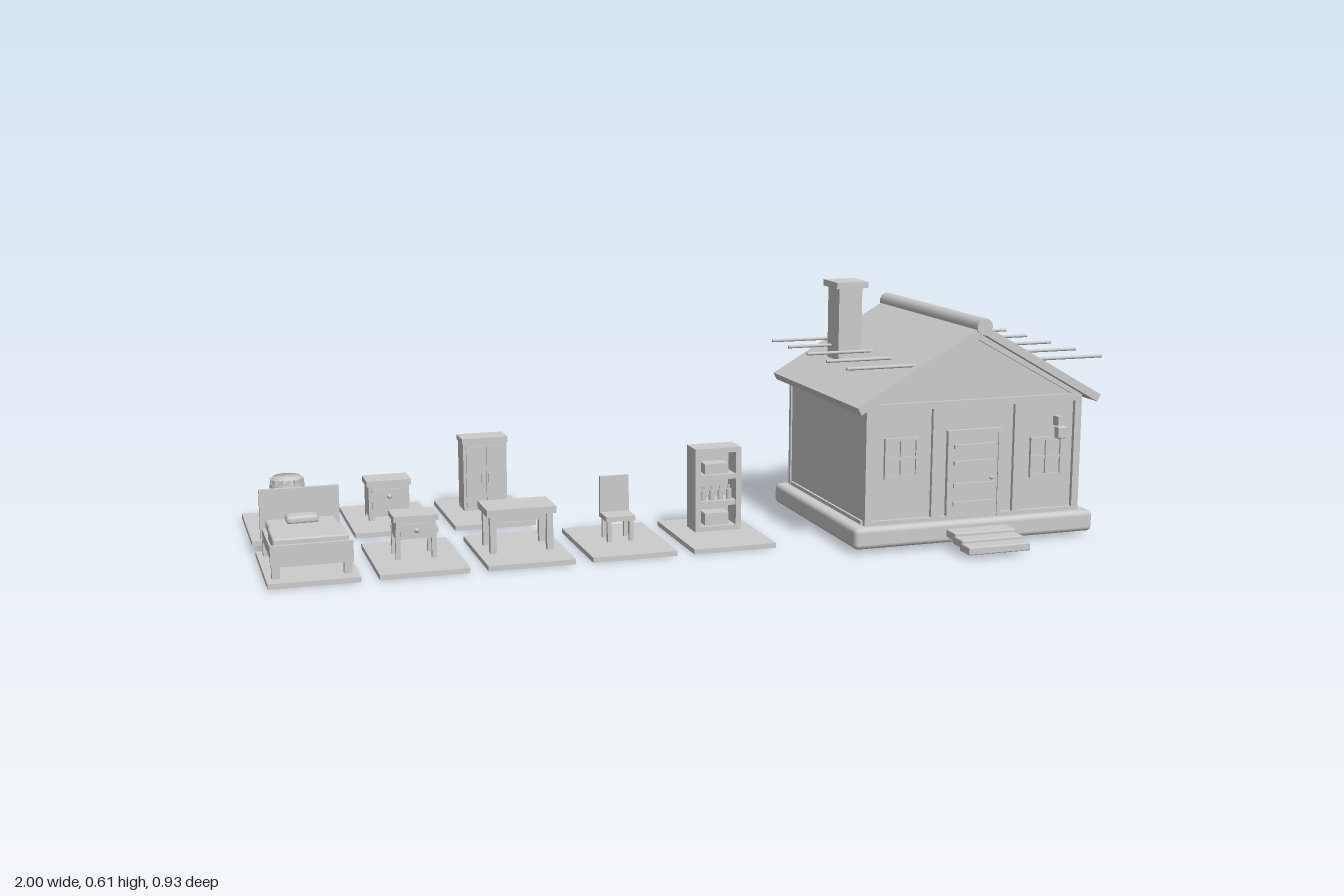
import * as THREE from 'three';
import { RoundedBoxGeometry } from 'three/addons/geometries/RoundedBoxGeometry.js';

const clay = new THREE.MeshStandardMaterial({ color: 0xcccccc });
clay.name = 'light grey';

function put(parent, name, geometry, x = 0, y = 0, z = 0) {
  const m = new THREE.Mesh(geometry, clay);
  m.name = name;
  m.position.set(x, y, z);
  parent.add(m);
  return m;
}
// Box given by its minimum and maximum corners
function box(parent, name, x0, x1, y0, y1, z0, z1, round = 0) {
  const s = [x1 - x0, y1 - y0, z1 - z0];
  const g = round ? new RoundedBoxGeometry(...s, 2, round) : new THREE.BoxGeometry(...s);
  return put(parent, name, g, (x0 + x1) / 2, (y0 + y1) / 2, (z0 + z1) / 2);
}
function rod(parent, name, r, length, axis, x, y, z, sides = 10) {
  const g = new THREE.CylinderGeometry(r, r, length, sides);
  if (axis === 'x') g.rotateZ(Math.PI / 2);
  if (axis === 'z') g.rotateX(Math.PI / 2);
  return put(parent, name, g, x, y, z);
}
function extrude(parent, name, points, z0, z1) {
  const shape = new THREE.Shape(points.map(([x, y]) => new THREE.Vector2(x, y)));
  const g = new THREE.ExtrudeGeometry(shape, { depth: z1 - z0, bevelEnabled: false });
  return put(parent, name, g, 0, 0, z0);
}
function group(parent, name, x = 0, y = 0, z = 0) {
  const g = new THREE.Group();
  g.name = name;
  g.position.set(x, y, z);
  parent.add(g);
  return g;
}
function legs(parent, x, z0, z1, top, w) {
  for (const sx of [-1, 1]) for (const z of [z0, z1])
    box(parent, 'leg', sx * x - w / 2, sx * x + w / 2, 0, top, z - w / 2, z + w / 2);
}

function windowFrame(parent, x, y, w, h, z) {
  const g = group(parent, 'window', x, y, z);
  box(g, 'pane', -w / 2, w / 2, -h / 2, h / 2, 0, 0.003);
  for (const s of [-1, 0, 1]) {
    box(g, 'upright', s * w / 2 - 0.004, s * w / 2 + 0.004, -h / 2 - 0.004, h / 2 + 0.004, 0, 0.008);
    box(g, 'crossbar', -w / 2, w / 2, s * h / 2 - 0.004, s * h / 2 + 0.004, 0, 0.007);
  }
}

function buildHouse(root) {
  const h = group(root, 'house', 0.661);
  box(h, 'foundation', -0.316, 0.316, 0.01, 0.062, -0.186, 0.345, 0.012);
  for (let i = 0; i < 3; i++)
    box(h, 'step', -0.08, 0.08, 0.01 + i * 0.008, 0.029 + i * 0.008, 0.415 - i * 0.037, 0.465 - i * 0.037, 0.003);

  extrude(h, 'walls', [[-0.28, 0.06], [0.28, 0.06], [0.28, 0.355], [0, 0.515], [-0.28, 0.355]], -0.158, 0.315);

  // Timber framing on both gables
  for (const [z0, z1] of [[0.313, 0.325], [-0.168, -0.156]]) {
    for (const x of [-0.275, -0.103, 0.113, 0.275])
      box(h, 'post', x - 0.009, x + 0.009, 0.062, 0.35, z0, z1);
    box(h, 'tieBeam', -0.284, 0.284, 0.335, 0.352, z0, z1);
    box(h, 'sill', -0.284, 0.284, 0.062, 0.072, z0, z1);
    for (const s of [-1, 1]) {
      const p = [[0, 0.516], [0, 0.496], [s * 0.284, 0.338], [s * 0.284, 0.358]];
      extrude(h, 'rafter', s > 0 ? p.reverse() : p, z0, z1);
    }
  }
  for (const s of [-1, 1]) for (const [y0, y1] of [[0.062, 0.071], [0.331, 0.345]])
    box(h, 'wallPlate', s * 0.282 - 0.004, s * 0.282 + 0.004, y0, y1, -0.147, 0.305);

  // Roof with ridge pole and projecting poles
  extrude(h, 'roof', [[-0.318, 0.352], [-0.31, 0.335], [0, 0.512], [0.31, 0.335], [0.318, 0.352], [0, 0.534]], -0.196, 0.353);
  rod(h, 'ridgePole', 0.02, 0.555, 'z', 0, 0.53, 0.079, 16);
  for (const z of [0.32, 0.198, 0.075, -0.05, -0.163])
    for (const s of [-1, 1]) rod(h, 'roofPole', 0.004, 0.175, 'x', s * 0.2475, 0.441, z, 8);

  box(h, 'chimney', -0.22, -0.158, 0.39, 0.592, -0.071, 0);
  box(h, 'chimneyCap', -0.23, -0.146, 0.589, 0.605, -0.08, 0.009);

  // Front door
  const d = group(h, 'door', 0, 0, 0.315);
  box(d, 'doorPanel', -0.063, 0.063, 0.062, 0.272, 0, 0.008);
  for (const s of [-1, 1]) box(d, 'jamb', s * 0.067 - 0.005, s * 0.067 + 0.005, 0.062, 0.277, 0, 0.011);
  box(d, 'lintel', -0.072, 0.072, 0.27, 0.28, 0, 0.011);
  for (const y of [0.1, 0.145, 0.2, 0.24]) box(d, 'doorBar', -0.055, 0.055, y - 0.005, y + 0.005, 0, 0.014);
  put(d, 'knob', new THREE.SphereGeometry(0.005, 10, 8), 0.044, 0.16, 0.013);

  // Windows and lantern
  windowFrame(h, -0.19, 0.22, 0.08, 0.09, 0.315);
  windowFrame(h, 0.195, 0.2, 0.08, 0.09, 0.315);
  box(h, 'lanternBracket', 0.213, 0.225, 0.277, 0.3, 0.313, 0.34);
  box(h, 'lantern', 0.207, 0.231, 0.248, 0.278, 0.331, 0.353, 0.004);
}

function buildBed(g) {
  legs(g, 0.08, -0.105, 0.1, 0.04, 0.018);
  box(g, 'bedFrame', -0.088, 0.088, 0.035, 0.062, -0.12, 0.112);
  box(g, 'mattress', -0.08, 0.08, 0.06, 0.083, -0.115, 0.105, 0.006);
  box(g, 'blanket', -0.084, 0.084, 0.06, 0.09, -0.013, 0.106, 0.005);
  box(g, 'pillow', -0.037, 0.037, 0.08, 0.1, -0.098, -0.055, 0.008);
  box(g, 'headboard', -0.092, 0.092, 0.035, 0.153, -0.13, -0.117);
  box(g, 'footboard', -0.092, 0.092, 0.028, 0.077, 0.106, 0.116);
}
function buildNightstand(g) {
  legs(g, 0.042, -0.032, 0.026, 0.07, 0.011);
  box(g, 'body', -0.046, 0.046, 0.048, 0.092, -0.038, 0.032);
  box(g, 'top', -0.052, 0.052, 0.09, 0.103, -0.045, 0.036);
  box(g, 'drawer', -0.036, 0.036, 0.056, 0.084, 0.03, 0.036);
  put(g, 'knob', new THREE.SphereGeometry(0.006, 10, 8), 0, 0.07, 0.041);
}
function buildTable(g) {
  legs(g, 0.068, -0.045, 0.035, 0.09, 0.015);
  box(g, 'apron', -0.068, 0.068, 0.073, 0.09, -0.046, 0.036);
  box(g, 'top', -0.083, 0.083, 0.088, 0.105, -0.06, 0.046);
}
function buildChair(g) {
  legs(g, 0.027, -0.03, 0.015, 0.052, 0.01);
  box(g, 'seat', -0.036, 0.036, 0.05, 0.062, -0.041, 0.024);
  box(g, 'backrest', -0.036, 0.036, 0.06, 0.15, -0.041, -0.032);
}
function buildShelf(g) {
  box(g, 'back', -0.059, 0.059, 0.008, 0.213, -0.043, -0.034);
  for (const s of [-1, 1]) box(g, 'side', s * 0.052 - 0.007, s * 0.052 + 0.007, 0.008, 0.213, -0.043, 0.023);
  for (const y of [0.008, 0.07, 0.135, 0.201]) box(g, 'shelf', -0.05, 0.05, y, y + 0.012, -0.04, 0.022);
  for (let i = 0; i < 4; i++) {
    const x = -0.033 + i * 0.022;
    rod(g, 'bottle', 0.007, 0.026, 'y', x, 0.094, 0.004);
    rod(g, 'bottleNeck', 0.003, 0.012, 'y', x, 0.112, 0.004);
  }
  box(g, 'lowerBox', -0.03, 0.03, 0.02, 0.05, -0.03, 0.012);
  box(g, 'upperBox', -0.03, 0.03, 0.147, 0.172, -0.03, 0.01);
}
function buildBarrel(g) {
  const profile = [[0, 0], [0.035, 0], [0.039, 0.04], [0.04, 0.061], [0.039, 0.082], [0.035, 0.122], [0, 0.122]];
  put(g, 'barrel', new THREE.LatheGeometry(profile.map(([x, y]) => new THREE.Vector2(x, y)), 20), 0, 0, -0.005);
  for (let i = 0; i < 12; i++) {
    const a = (i / 12) * Math.PI * 2;
    const stave = put(g, 'stave', new THREE.BoxGeometry(0.014, 0.106, 0.006),
      Math.sin(a) * 0.038, 0.064, Math.cos(a) * 0.038 - 0.005);
    stave.rotation.y = a;
  }
  for (const y of [0.02, 0.1]) rod(g, 'hoop', 0.043, 0.01, 'y', 0, y, -0.005, 24);
}
function buildCabinet(g) {
  legs(g, 0.044, -0.036, 0.024, 0.014, 0.014);
  box(g, 'body', -0.051, 0.051, 0.01, 0.09, -0.042, 0.03);
  box(g, 'lid', -0.056, 0.056, 0.088, 0.102, -0.046, 0.034);
  box(g, 'front', -0.043, 0.043, 0.02, 0.08, 0.029, 0.034);
  put(g, 'knob', new THREE.SphereGeometry(0.006, 10, 8), 0, 0.062, 0.038);
}
function buildWardrobe(g) {
  box(g, 'body', -0.056, 0.056, 0.008, 0.184, -0.038, 0.028);
  box(g, 'cornice', -0.059, 0.059, 0.182, 0.195, -0.04, 0.03);
  for (const s of [-1, 1]) {
    box(g, 'wardrobeDoor', s * 0.026 - 0.023, s * 0.026 + 0.023, 0.018, 0.174, 0.027, 0.033);
    box(g, 'handle', s * 0.009 - 0.002, s * 0.009 + 0.002, 0.08, 0.105, 0.032, 0.038);
  }
}

export function createModel() {
  const root = new THREE.Group();
  root.name = 'cabinAndFurniture';
  buildHouse(root);

  // Two rows of furniture, each piece on its own plinth
  const rows = [
    [0.0765, { bed: buildBed, nightstand: buildNightstand, table: buildTable, chair: buildChair, bookshelf: buildShelf }],
    [-0.3175, { barrel: buildBarrel, cabinet: buildCabinet, wardrobe: buildWardrobe }],
  ];
  for (const [z, pieces] of rows) {
    Object.entries(pieces).forEach(([name, build], i) => {
      const g = group(root, name, -0.8975 + i * 0.2468, 0.012, z);
      box(g, 'plinth', -0.1025, 0.1025, -0.012, 0, -0.147, 0.147);
      build(g);
    });
  }
  return root;
}
